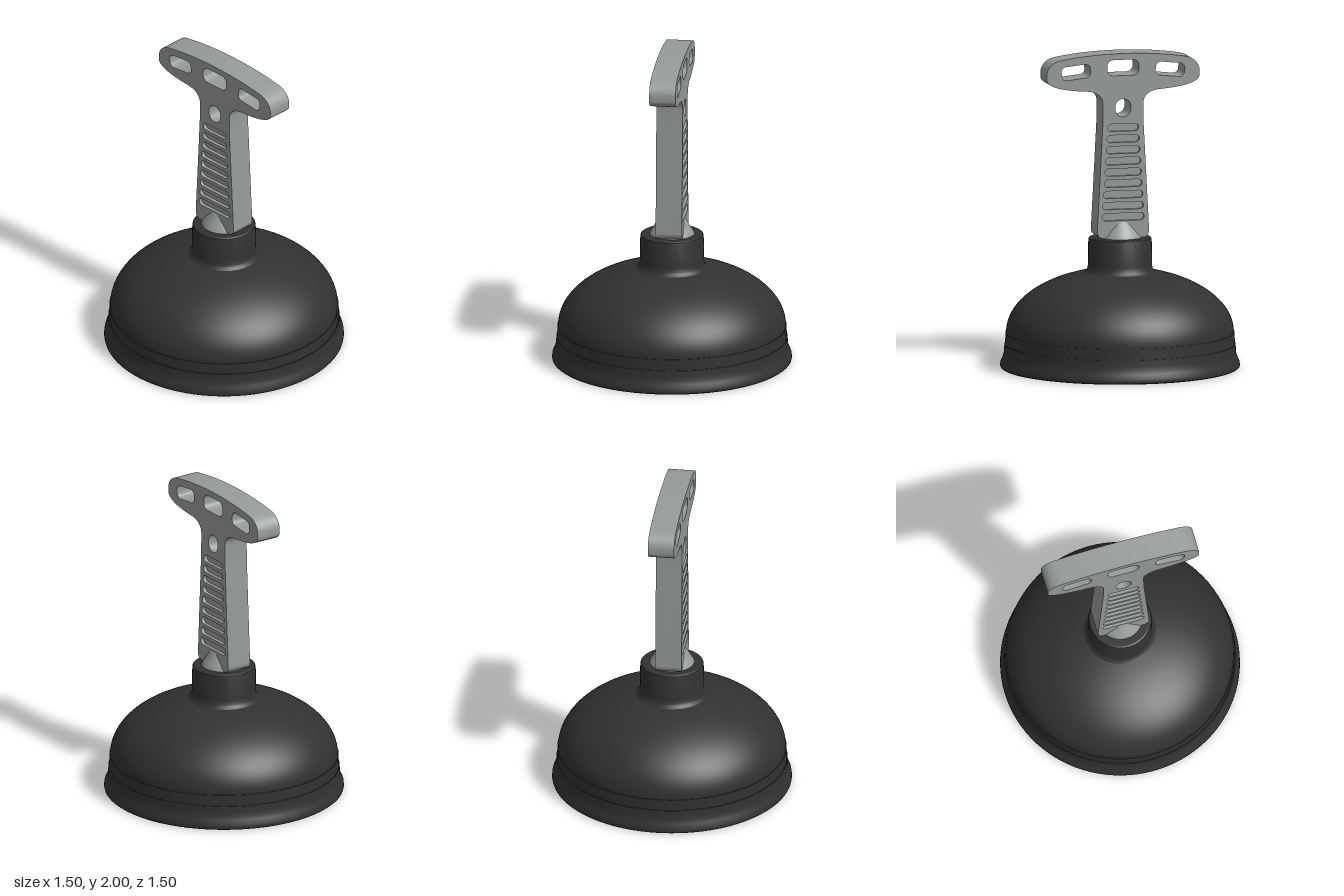
import * as THREE from 'three';
import { toCreasedNormals } from 'three/addons/utils/BufferGeometryUtils.js';

const HALF_DEPTH = 0.083, GROOVE_DEPTH = 0.022;

// Rounded rectangle, optionally tilted, used for holes and grooves
function slot(cx, cy, w, h, r, tilt = 0) {
  const path = new THREE.Path();
  const c = Math.cos(tilt), s = Math.sin(tilt);
  const pts = [];
  for (let q = 0; q < 4; q++) {
    const ox = (q === 0 || q === 3 ? 1 : -1) * (w / 2 - r);
    const oy = (q < 2 ? 1 : -1) * (h / 2 - r);
    for (let i = 0; i <= 8; i++) {
      const a = (q + i / 8) * Math.PI / 2;
      const x = ox + r * Math.cos(a), y = oy + r * Math.sin(a);
      pts.push(new THREE.Vector2(cx + x * c - y * s, cy + x * s + y * c));
    }
  }
  return path.setFromPoints(pts);
}

// T-shaped outline: half is drawn with curves, then mirrored
function handleShape() {
  const half = new THREE.Path();
  half.moveTo(0, 0.832);
  half.lineTo(0.14, 0.832);
  half.quadraticCurveTo(0.17, 0.845, 0.167, 0.88);
  half.lineTo(0.132, 1.55);
  half.lineTo(0.13, 1.68);
  half.quadraticCurveTo(0.132, 1.755, 0.23, 1.766);
  half.quadraticCurveTo(0.33, 1.772, 0.4, 1.787);
  half.quadraticCurveTo(0.491, 1.81, 0.493, 1.845);
  half.lineTo(0.493, 1.89);
  half.quadraticCurveTo(0.478, 1.95, 0.41, 1.967);
  half.quadraticCurveTo(0.22, 2.0, 0, 2.0);
  const right = half.getPoints(10);
  const left = right.slice(1, -1).reverse().map(p => new THREE.Vector2(-p.x, p.y));
  const shape = new THREE.Shape([...right, ...left]);
  shape.holes.push(
    slot(0, 1.91, 0.205, 0.1, 0.04),
    slot(-0.304, 1.89, 0.188, 0.086, 0.032, 0.11),
    slot(0.304, 1.89, 0.188, 0.086, 0.032, -0.11),
    slot(0, 1.655, 0.1, 0.114, 0.049)
  );
  return shape;
}

function plate(name, shape, z, depth, material) {
  const geo = new THREE.ExtrudeGeometry(shape, { depth, bevelEnabled: false });
  geo.translate(0, 0, z);
  const mesh = new THREE.Mesh(toCreasedNormals(geo, 0.5), material);
  mesh.name = name;
  return mesh;
}

function turned(name, points, material, segments = 96) {
  const geo = new THREE.LatheGeometry(points.map(p => new THREE.Vector2(...p)), segments);
  const mesh = new THREE.Mesh(toCreasedNormals(geo, 0.45), material);
  mesh.name = name;
  return mesh;
}

// Elliptical dome profile between two angles
function dome(radius, height, y0, a0, a1, n) {
  return Array.from({ length: n + 1 }, (_, i) => {
    const a = a0 + (a1 - a0) * i / n;
    return [Math.max(0, radius * Math.cos(a)), y0 + height * Math.sin(a)];
  });
}

export function createModel() {
  const group = new THREE.Group();
  const rubber = new THREE.MeshStandardMaterial({ color: 0x303231 });
  const plastic = new THREE.MeshStandardMaterial({ color: 0x979c99 });

  // Hollow rubber cup: inner dome, flared rim, outer dome, neck
  group.add(turned('cup', [
    ...dome(0.68, 0.385, 0.2, Math.PI / 2, 0, 24),
    [0.685, 0.1], [0.7, 0.03], [0.705, 0],
    [0.742, 0], [0.75, 0.006], [0.752, 0.015], [0.75, 0.035],
    [0.738, 0.06], [0.73, 0.085], [0.727, 0.11], [0.725, 0.15],
    [0.72, 0.15], [0.719, 0.222], [0.714, 0.222],
    ...dome(0.714, 0.4, 0.225, 0.03, Math.acos(0.225 / 0.714), 28),
    [0.21, 0.618], [0.204, 0.63], [0.2, 0.655],
    [0.199, 0.81], [0.196, 0.82], [0.187, 0.826], [0, 0.826],
  ], rubber));

  // Flared plug joining handle and neck
  group.add(turned('handleBase', [
    [0.142, 0.82], [0.139, 0.832], [0.122, 0.858],
    [0.1, 0.897], [0.083, 0.932], [0, 0.932],
  ], plastic, 48));

  // Handle: solid core with a grooved grip layer on each face
  const handle = new THREE.Group();
  handle.name = 'handle';
  const core = HALF_DEPTH - GROOVE_DEPTH;
  handle.add(plate('handleCore', handleShape(), -core, core * 2, plastic));
  const grip = handleShape();
  for (let i = 0; i < 9; i++) {
    grip.holes.push(slot(0, 0.964 + i * 0.0708, 0.272 - i * 0.009, 0.047, 0.023));
  }
  handle.add(plate('frontGrip', grip, core, GROOVE_DEPTH, plastic));
  handle.add(plate('backGrip', grip, -HALF_DEPTH, GROOVE_DEPTH, plastic));
  group.add(handle);

  return group;
}
